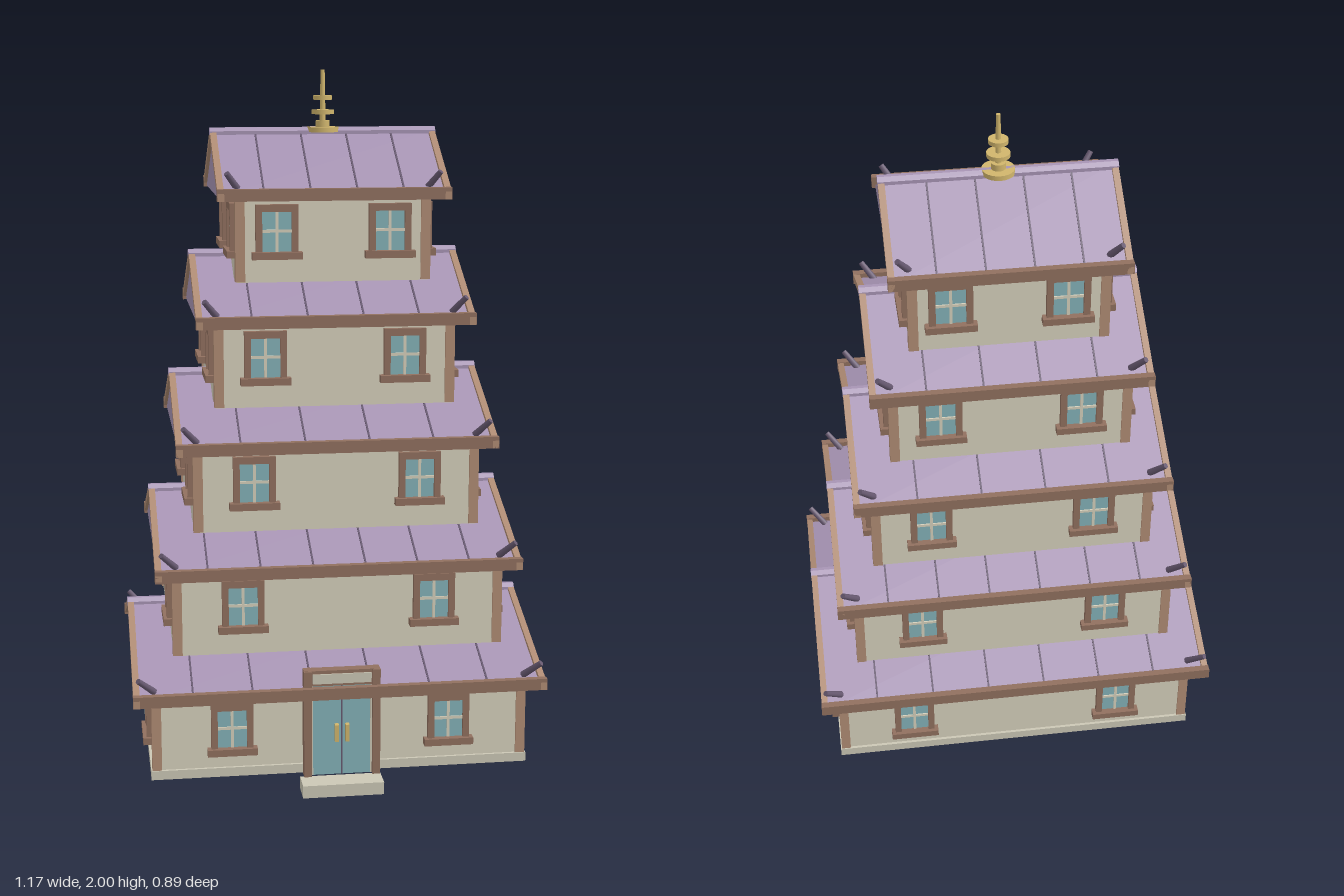
import * as THREE from 'three';

const mat = (name, color) => {
  const m = new THREE.MeshStandardMaterial({ color });
  m.name = name;
  return m;
};
const M = {
  wall: mat('cream plaster', 0xd6d0bc),
  stone: mat('pale stone', 0xcbc7b5),
  roof: mat('purple roof', 0xa794b4),
  seam: mat('dark purple', 0x66586f),
  post: mat('light timber', 0xb08c74),
  trim: mat('brown timber', 0x91705f),
  glass: mat('teal glass', 0x84b2b8),
  gold: mat('gold', 0xd0b56c),
};

function add(parent, name, geo, material, x = 0, y = 0, z = 0) {
  const mesh = new THREE.Mesh(geo, material);
  mesh.name = name;
  mesh.position.set(x, y, z);
  parent.add(mesh);
  return mesh;
}
const box = (parent, name, material, w, h, d, x, y, z) =>
  add(parent, name, new THREE.BoxGeometry(w, h, d), material, x, y, z);

// Profile given as [z, y] points, extruded along x and centred on x = 0
function prism(points, length) {
  const shape = new THREE.Shape(points.map(([z, y]) => new THREE.Vector2(-z, y)));
  const geo = new THREE.ExtrudeGeometry(shape, { depth: length, bevelEnabled: false });
  geo.translate(0, 0, -length / 2);
  geo.rotateY(Math.PI / 2);
  return geo;
}

// Window facing +z, origin on the wall at the storey's floor level
function makeWindow() {
  const g = new THREE.Group();
  g.name = 'window';
  box(g, 'glass', M.glass, 0.085, 0.115, 0.008, 0, 0.14, 0.002);
  box(g, 'mullion', M.wall, 0.008, 0.115, 0.005, 0, 0.14, 0.007);
  box(g, 'crossbar', M.wall, 0.085, 0.008, 0.005, 0, 0.142, 0.007);
  for (const s of [-1, 1]) box(g, 'windowJamb', M.trim, 0.018, 0.135, 0.024, s * 0.05, 0.147, 0.004);
  box(g, 'windowHead', M.trim, 0.118, 0.02, 0.024, 0, 0.205, 0.004);
  box(g, 'windowSill', M.trim, 0.14, 0.02, 0.036, 0, 0.075, 0.008);
  return g;
}

function makeRoof(rx, rz, seams, shrink) {
  const g = new THREE.Group();
  g.name = 'roof';
  const low = 0.012, top = 0.172; // heights at eave and ridge
  add(g, 'roofBody', prism([[-rz + 0.01, 0], [-rz + 0.01, low], [0, top], [rz - 0.01, low], [rz - 0.01, 0]], 2 * rx - 0.02), M.roof);

  // Sloping trim on both gable ends
  const up = 0.008, down = 0.014;
  const rake = prism([[-rz, low + up], [0, top + up], [rz, low + up], [rz, low - down],
    [0, top - down], [-rz, low - down]], 0.018);
  for (const s of [-1, 1]) {
    add(g, 'rakeTrim', rake, M.post, s * (rx - 0.01));
    box(g, 'eaveFascia', M.trim, 2 * rx, 0.033, 0.02, 0, 0.0145, s * (rz - 0.01));
  }
  add(g, 'ridgeCap', prism([[-0.017, top - 0.008], [-0.017, top + 0.002], [-0.006, top + 0.012],
    [0.006, top + 0.012], [0.017, top + 0.002], [0.017, top - 0.008]], 2 * rx), M.roof);

  // Thin standing seams on each slope
  const run = rz - 0.02, slope = Math.atan2(top - low, rz - 0.01);
  for (let i = 1; i <= seams; i++) {
    for (const s of [-1, 1]) {
      const seam = box(g, 'roofSeam', M.seam, 0.005, 0.005, run / Math.cos(slope),
        -rx + (2 * rx * i) / (seams + 1), (top + low) / 2 + 0.001, s * (rz - 0.01) / 2);
      seam.rotation.x = s * slope;
    }
  }

  // Upturned horns at the four corners
  for (const sx of [-1, 1]) {
    for (const sz of [-1, 1]) {
      const a = new THREE.Vector3(sx * (rx - 0.06), 0.028, sz * (rz - 0.05));
      const b = new THREE.Vector3(sx * (rx - 0.06 + 0.045 * shrink), 0.03 + 0.043, sz * (rz - 0.05 + 0.034 * shrink));
      const dir = b.clone().sub(a);
      const horn = add(g, 'cornerHorn', new THREE.CylinderGeometry(0.008, 0.01, dir.length(), 8), M.seam);
      horn.position.copy(a).add(b).multiplyScalar(0.5);
      horn.quaternion.setFromUnitVectors(new THREE.Vector3(0, 1, 0), dir.normalize());
    }
  }
  return g;
}

function makeStorey(i, [wx, wz, rx, rz, seams]) {
  const g = new THREE.Group();
  g.name = 'storey';
  const h = 0.24;
  box(g, 'walls', M.wall, 2 * wx - 0.01, h, 2 * wz - 0.01, 0, h / 2, 0);
  for (const sx of [-1, 1])
    for (const sz of [-1, 1])
      box(g, 'cornerPost', M.post, 0.027, h - 0.002, 0.027, sx * (wx - 0.0135), h / 2 + 0.001, sz * (wz - 0.0135));

  // Two windows on each of the four sides
  for (let side = 0; side < 4; side++) {
    const [along, out] = side % 2 ? [wz, wx] : [wx, wz];
    const face = new THREE.Group();
    face.name = 'windowPair';
    face.rotation.y = (side * Math.PI) / 2;
    for (const s of [-1, 1]) {
      const w = makeWindow();
      w.position.set(s * along * 0.578, 0, out - 0.005);
      face.add(w);
    }
    g.add(face);
  }
  const roof = makeRoof(rx, rz, seams, 1 - 0.07 * i);
  roof.position.y = 0.229;
  g.add(roof);
  return g;
}

function makeEntrance() {
  const g = new THREE.Group();
  g.name = 'entrance';
  box(g, 'doorStep', M.stone, 0.23, 0.036, 0.07, 0, 0.018, 0.415);
  for (const s of [-1, 1]) {
    box(g, 'doorJamb', M.trim, 0.022, 0.31, 0.04, s * 0.097, 0.205, 0.4);
    box(g, 'doorLeaf', M.glass, 0.082, 0.27, 0.02, s * 0.043, 0.185, 0.395);
    box(g, 'doorEdge', M.stone, 0.005, 0.27, 0.024, s * 0.0835, 0.185, 0.395);
    box(g, 'doorHandle', M.gold, 0.011, 0.05, 0.018, s * 0.015, 0.176, 0.412);
  }
  box(g, 'doorGap', M.seam, 0.004, 0.27, 0.021, 0, 0.185, 0.395);
  box(g, 'doorHeader', M.trim, 0.214, 0.045, 0.03, 0, 0.338, 0.398);
  box(g, 'headerPanel', M.stone, 0.166, 0.028, 0.006, 0, 0.337, 0.414);
  return g;
}

function makeFinial() {
  const g = new THREE.Group();
  g.name = 'finial';
  add(g, 'finialPole', new THREE.CylinderGeometry(0.006, 0.009, 0.175, 12), M.gold, 0, 1.9125, 0);
  for (const [y, r, h] of [[1.833, 0.045, 0.014], [1.848, 0.02, 0.02], [1.882, 0.032, 0.012], [1.922, 0.027, 0.012]])
    add(g, 'finialRing', new THREE.CylinderGeometry(r, r, h, 24), M.gold, 0, y, 0);
  return g;
}

export function createModel() {
  const model = new THREE.Group();
  model.name = 'pagoda';

  // wall half width, wall half depth, roof half width, roof half depth, seams
  const storeys = [
    [0.532, 0.39, 0.583, 0.436, 6],
    [0.467, 0.348, 0.515, 0.395, 6],
    [0.402, 0.31, 0.45, 0.354, 4],
    [0.337, 0.268, 0.388, 0.314, 4],
    [0.272, 0.228, 0.323, 0.273, 4],
  ];
  storeys.forEach((dims, i) => {
    const storey = makeStorey(i, dims);
    storey.position.y = 0.055 + i * 0.343;
    model.add(storey);
  });
  box(model, 'plinth', M.stone, 1.07, 0.026, 0.786, 0, 0.067, 0);
  model.add(makeEntrance(), makeFinial());
  for (const part of model.children) part.position.z -= 0.008;
  return model;
}
